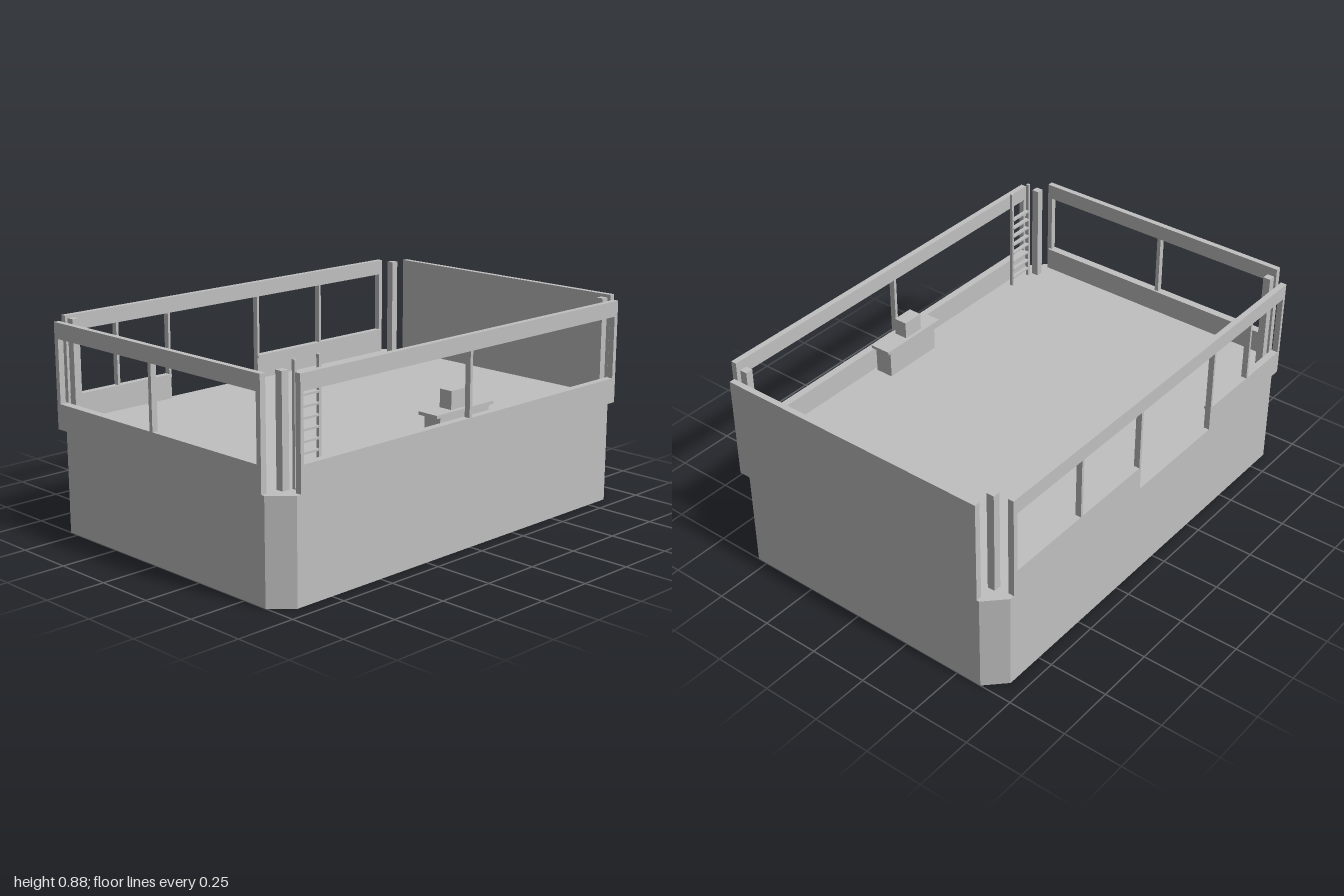
import * as THREE from 'three';

const FLOOR = 0.417, TOP = 0.85, SILL = 0.523, HEAD = 0.785, THICK = 0.025;

export function createModel() {
  const model = new THREE.Group();
  model.name = 'upperRoom';
  const grey = new THREE.MeshStandardMaterial({ color: 0xc0c0c0 });
  grey.name = 'plain grey';

  const add = (name, geometry, parent = model) => {
    const mesh = new THREE.Mesh(geometry, grey);
    mesh.name = name;
    parent.add(mesh);
    return mesh;
  };
  // Box given by its two extreme corners
  const box = (name, x0, x1, y0, y1, z0, z1, parent) => {
    const mesh = add(name, new THREE.BoxGeometry(x1 - x0, y1 - y0, z1 - z0), parent);
    mesh.position.set((x0 + x1) / 2, (y0 + y1) / 2, (z0 + z1) / 2);
    return mesh;
  };
  const shapeOf = (points) => new THREE.Shape(points.map(([x, y]) => new THREE.Vector2(x, y)));
  const extrude = (shape, depth) => new THREE.ExtrudeGeometry(shape, { depth, bevelEnabled: false });

  // Base block with two small and two large cut corners, drawn in x and -z
  const base = extrude(shapeOf([
    [-0.545, -1], [0.61, -1], [0.69, -0.92], [0.69, 0.855],
    [0.545, 1], [-0.61, 1], [-0.69, 0.92], [-0.69, -0.855],
  ]), FLOOR);
  base.rotateX(-Math.PI / 2);
  add('base', base);

  // Wall panel with windows and an optional doorway down to the floor
  const wall = (name, u0, u1, windows, door) => {
    const outline = [[u0, FLOOR]];
    if (door) outline.push([door[0], FLOOR], [door[0], HEAD], [door[1], HEAD], [door[1], FLOOR]);
    outline.push([u1, FLOOR], [u1, TOP], [u0, TOP]);
    const shape = shapeOf(outline);
    for (const [a, b] of windows) {
      const hole = new THREE.Path();
      hole.moveTo(a, SILL).lineTo(a, HEAD).lineTo(b, HEAD).lineTo(b, SILL).closePath();
      shape.holes.push(hole);
    }
    return add(name, extrude(shape, THICK));
  };

  const front = wall('frontWall', -0.6, 0.595, [[-0.578, -0.02], [-0.003, 0.573]]);
  front.position.z = 1 - THICK;
  const back = wall('backWall', -0.6, 0.595, []);
  back.position.z = -1;

  // Side walls run along z
  const left = wall('leftWall', -0.9, 0.9, [[-0.88, 0.004], [0.018, 0.885]]);
  left.rotation.y = -Math.PI / 2;
  left.position.x = 0.69;
  const right = wall('rightWall', -0.9, 0.9,
    [[-0.88, -0.502], [-0.49, -0.127], [0.383, 0.64], [0.652, 0.885]], [-0.115, 0.372]);
  right.rotation.y = -Math.PI / 2;
  right.position.x = -0.69 + THICK;

  // Narrow inner window sills
  const y0 = 0.51, y1 = SILL;
  box('frontSill', -0.59, 0.585, y0, y1, 0.965, 0.976);
  box('leftSill', 0.658, 0.666, y0, y1, -0.89, 0.89);
  box('rightSillRear', -0.666, -0.66, y0, y1, -0.89, -0.115);
  box('rightSillFront', -0.666, -0.66, y0, y1, 0.372, 0.89);

  // Corner posts
  for (const x of [-1, 1]) for (const z of [-1, 1]) {
    const post = box('cornerPost', -0.016, 0.016, FLOOR, TOP, -0.016, 0.016);
    post.position.x = x * 0.603;
    post.position.z = z * 0.905;
  }

  // Ladder beside the front left corner
  const ladder = new THREE.Group();
  ladder.name = 'ladder';
  model.add(ladder);
  for (const z of [0.752, 0.869]) {
    box('ladderRail', 0.621, 0.634, FLOOR, 0.885, z - 0.006, z + 0.006, ladder);
  }
  for (let i = 0; i < 8; i++) {
    const y = 0.455 + i * 0.0425;
    box('ladderRung', 0.619, 0.636, y - 0.004, y + 0.004, 0.752, 0.869, ladder);
  }

  // Desk with a small console
  const desk = new THREE.Group();
  desk.name = 'desk';
  model.add(desk);
  box('deskBody', 0.57, 0.65, FLOOR, 0.54, -0.14, 0.14, desk);
  box('deskTop', 0.56, 0.654, 0.54, 0.553, -0.163, 0.163, desk);
  box('console', 0.575, 0.634, 0.553, 0.627, -0.034, 0.061, desk);

  return model;
}
